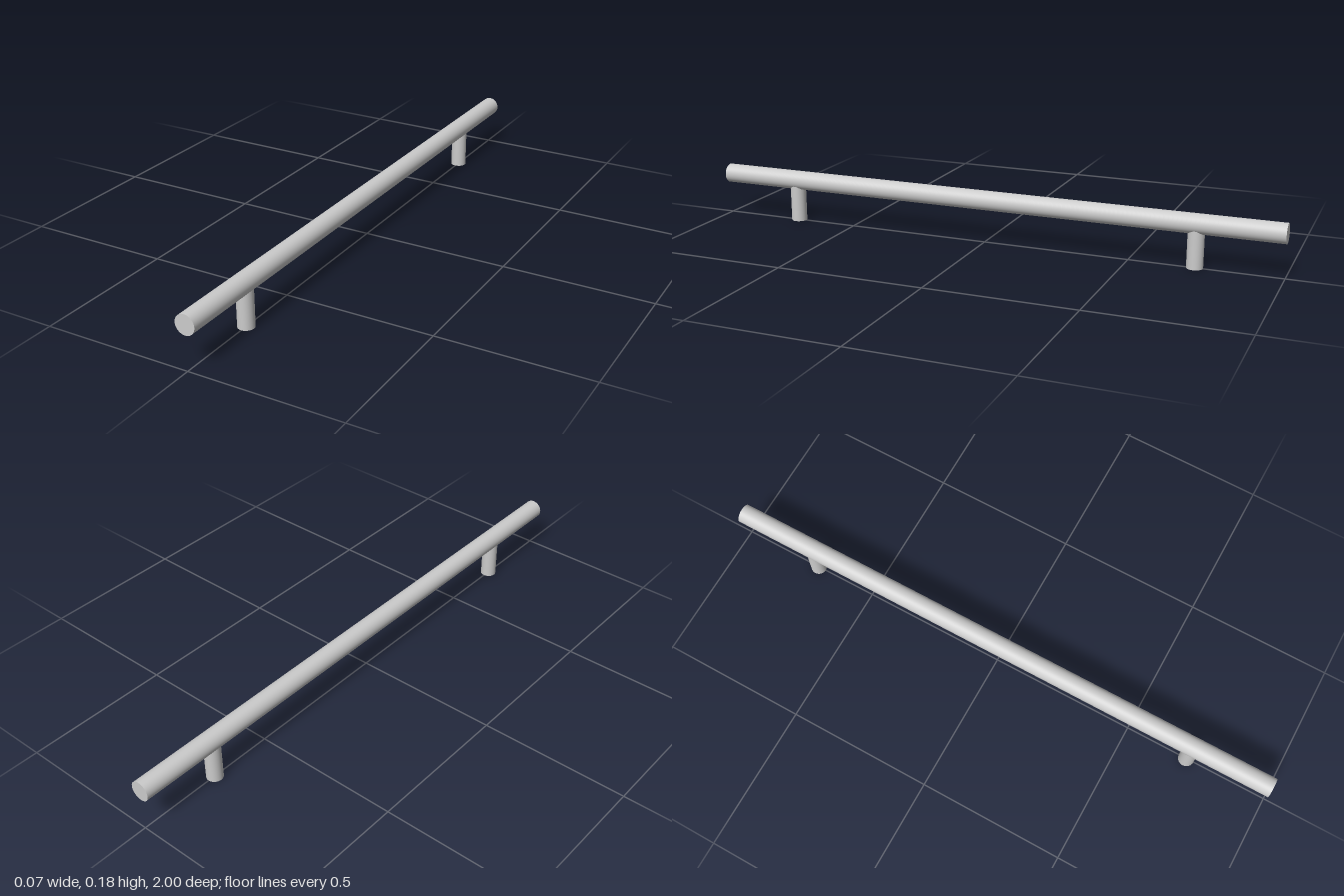
import * as THREE from 'three';

const BAR_RADIUS = 0.033, BAR_Y = 0.146, BAR_LENGTH = 2;
const POST_RADIUS = 0.027, POST_Z = 0.718;

export function createModel() {
  const model = new THREE.Group();
  model.name = 'barHandle';
  const material = new THREE.MeshStandardMaterial({ color: 0xcccccc });

  const add = (name, geometry, parent = model) => {
    const mesh = new THREE.Mesh(geometry, material);
    mesh.name = name;
    parent.add(mesh);
    return mesh;
  };

  // Long round grip with flat ends
  const bar = add('gripBar', new THREE.CylinderGeometry(BAR_RADIUS, BAR_RADIUS, BAR_LENGTH, 64));
  bar.rotation.x = Math.PI / 2;
  bar.position.y = BAR_Y;

  // Post wall, its top edge coped to the underside of the bar
  const wall = new THREE.CylinderGeometry(POST_RADIUS, POST_RADIUS, 1, 48, 1, true);
  const p = wall.attributes.position;
  for (let i = 0; i < p.count; i++) {
    const x = p.getX(i);
    p.setY(i, p.getY(i) > 0 ? BAR_Y - Math.sqrt(BAR_RADIUS ** 2 - x * x) : 0);
  }

  // Flat foot closing the post
  const foot = new THREE.CircleGeometry(POST_RADIUS, 48).rotateX(Math.PI / 2);

  for (const [name, side] of [['frontPost', 1], ['backPost', -1]]) {
    const post = new THREE.Group();
    post.name = name;
    post.position.z = side * POST_Z;
    add(name + 'Wall', wall, post);
    add(name + 'Foot', foot, post);
    model.add(post);
  }
  return model;
}
